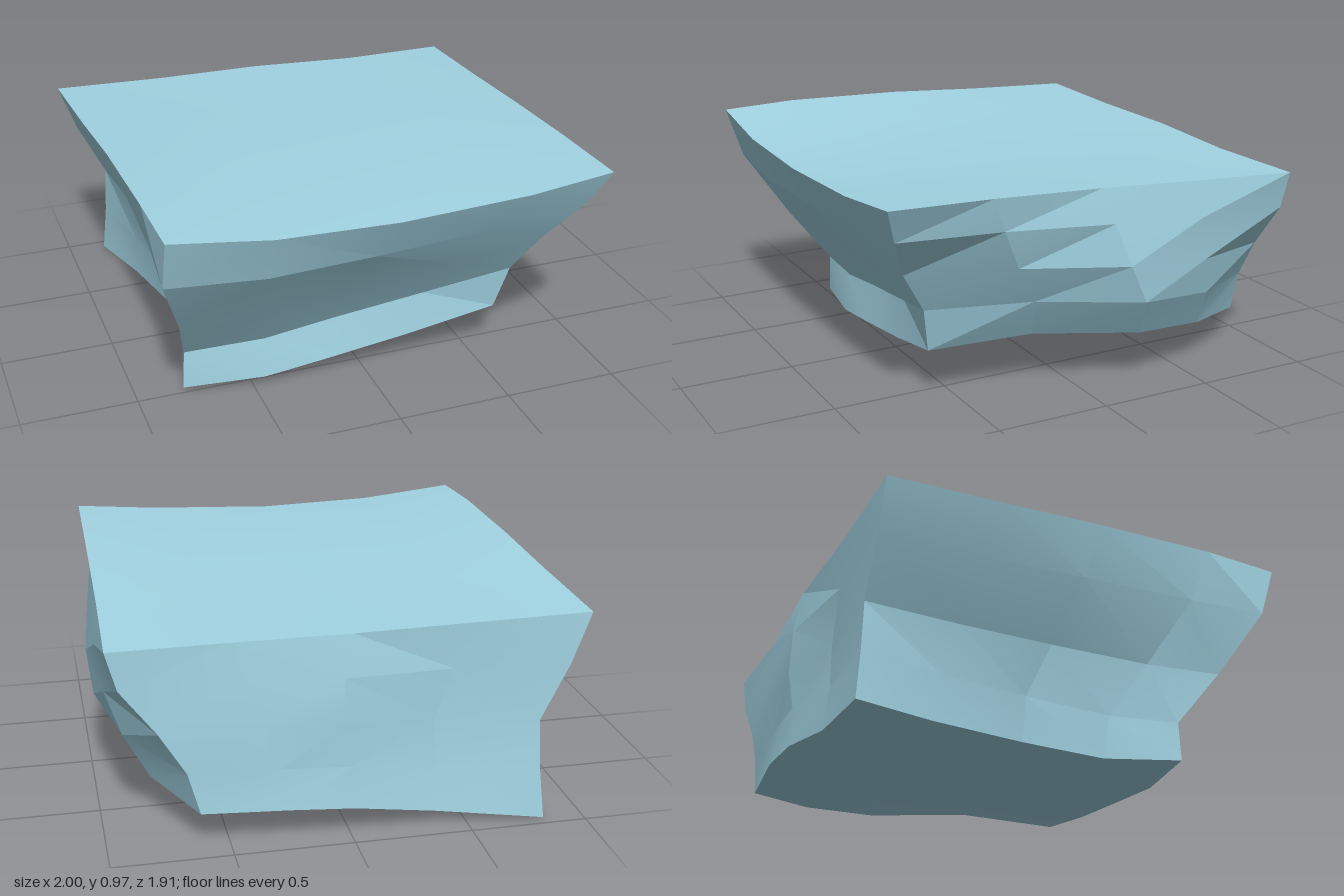
import * as THREE from 'three';
import { mergeGeometries, toCreasedNormals } from 'three/addons/utils/BufferGeometryUtils.js';

const N = 4; // cells along every edge of the block

// Upright corner edges, listed from top to bottom
const frontLeft = [[0.95, 0.955, 0.94], [0.87, 0.8, 0.88], [0.72, 0.61, 0.78], [0.65, 0.42, 0.66], [0.6, 0.22, 0.62]];
const frontRight = [[-0.95, 0.96, 0.94], [-0.95, 0.73, 0.865], [-0.85, 0.44, 0.68], [-0.79, 0.2, 0.5], [-0.8, 0.025, 0.5]];
const backLeft = [[0.975, 0.875, -0.91], [0.93, 0.71, -0.905], [0.78, 0.51, -0.9], [0.67, 0.33, -0.905], [0.62, 0.15, -0.91]];
const backRight = [[-1, 0.9, -0.92], [-0.92, 0.68, -0.92], [-0.8, 0.44, -0.92], [-0.81, 0.22, -0.93], [-0.83, 0, -0.95]];

// Rim and foot edges: the three points between two corners
const span = (a, mid, b) => [a, ...mid, b];
const frontTop = span(frontRight[0], [[-0.52, 0.91, 0.955], [0, 0.895, 0.955], [0.57, 0.92, 0.955]], frontLeft[0]);
const frontFoot = span(frontRight[N], [[-0.45, 0.04, 0.56], [-0.18, 0.08, 0.575], [0.2, 0.13, 0.58]], frontLeft[N]);
const backTop = span(backRight[0], [[-0.5, 0.89, -0.915], [0, 0.885, -0.925], [0.5, 0.875, -0.9]], backLeft[0]);
const backFoot = span(backRight[N], [[-0.365, 0.065, -0.92], [-0.01, 0.13, -0.95], [0.26, 0.15, -0.95]], backLeft[N]);
const leftTop = span(frontLeft[0], [[0.955, 0.945, 0.5], [0.96, 0.925, 0.02], [0.965, 0.9, -0.42]], backLeft[0]);
const leftFoot = span(frontLeft[N], [[0.69, 0.245, 0.18], [0.87, 0.235, -0.24], [0.79, 0.19, -0.6]], backLeft[N]);
const rightTop = span(frontRight[0], [[-0.96, 0.97, 0.6], [-0.97, 0.955, 0.05], [-0.985, 0.925, -0.4]], backRight[0]);
const rightFoot = span(frontRight[N], [[-0.71, 0.01, 0.18], [-0.665, 0.035, -0.17], [-0.74, 0.015, -0.6]], backRight[N]);

const flip = (edge) => [...edge].reverse();

// Patch stretched between four edges, seen from outside; bulge shifts inner points along one axis
function patch(top, bottom, left, right, axis = 0, bulge = null) {
  const points = [], index = [];
  for (let j = 0; j <= N; j++) {
    for (let i = 0; i <= N; i++) {
      const u = i / N, v = j / N;
      const inner = i > 0 && i < N && j > 0 && j < N;
      const p = [0, 1, 2].map((k) => (1 - v) * top[i][k] + v * bottom[i][k]
        + (1 - u) * left[j][k] + u * right[j][k]
        - (1 - v) * ((1 - u) * top[0][k] + u * top[N][k])
        - v * ((1 - u) * bottom[0][k] + u * bottom[N][k]));
      if (bulge && inner) p[axis] += bulge[j - 1][i - 1];
      points.push(new THREE.Vector3(...p));
    }
  }
  // Each cell is split along its shorter diagonal
  for (let j = 0; j < N; j++) {
    for (let i = 0; i < N; i++) {
      const a = j * (N + 1) + i, b = a + 1, c = a + N + 1, d = c + 1;
      if (points[a].distanceTo(points[d]) < points[b].distanceTo(points[c])) index.push(a, c, d, a, d, b);
      else index.push(a, c, b, b, c, d);
    }
  }
  return new THREE.BufferGeometry().setFromPoints(points).setIndex(index);
}

export function createModel() {
  const faces = [
    // front, hollowed towards its foot
    patch(frontTop, frontFoot, frontRight, frontLeft, 2,
      [[-0.01, -0.03, -0.02], [-0.04, -0.07, -0.04], [-0.03, -0.05, -0.04]]),
    // left side, swelling towards its middle
    patch(leftTop, leftFoot, frontLeft, backLeft, 0,
      [[0.02, 0.02, 0.03], [0.09, 0.125, 0.11], [0.08, 0.13, 0.1]]),
    // back, with a slight ridge down the middle
    patch(flip(backTop), flip(backFoot), backLeft, backRight, 2,
      [[0, -0.025, 0.01], [-0.02, -0.03, 0.01], [0, -0.005, 0.01]]),
    // right side
    patch(flip(rightTop), flip(rightFoot), backRight, frontRight),
    // sagging top
    patch(backTop, frontTop, flip(rightTop), flip(leftTop)),
    // hollow underside
    patch(frontFoot, backFoot, rightFoot, leftFoot, 1,
      [[0, -0.01, -0.03], [0, -0.01, -0.04], [0, -0.01, -0.03]]),
  ];
  const geometry = toCreasedNormals(mergeGeometries(faces), 0.17);
  const block = new THREE.Mesh(geometry, new THREE.MeshStandardMaterial({ color: 0xa2d4e3 }));
  block.name = 'stoneBlock';

  const group = new THREE.Group();
  group.name = 'stone';
  group.add(block);
  return group;
}
